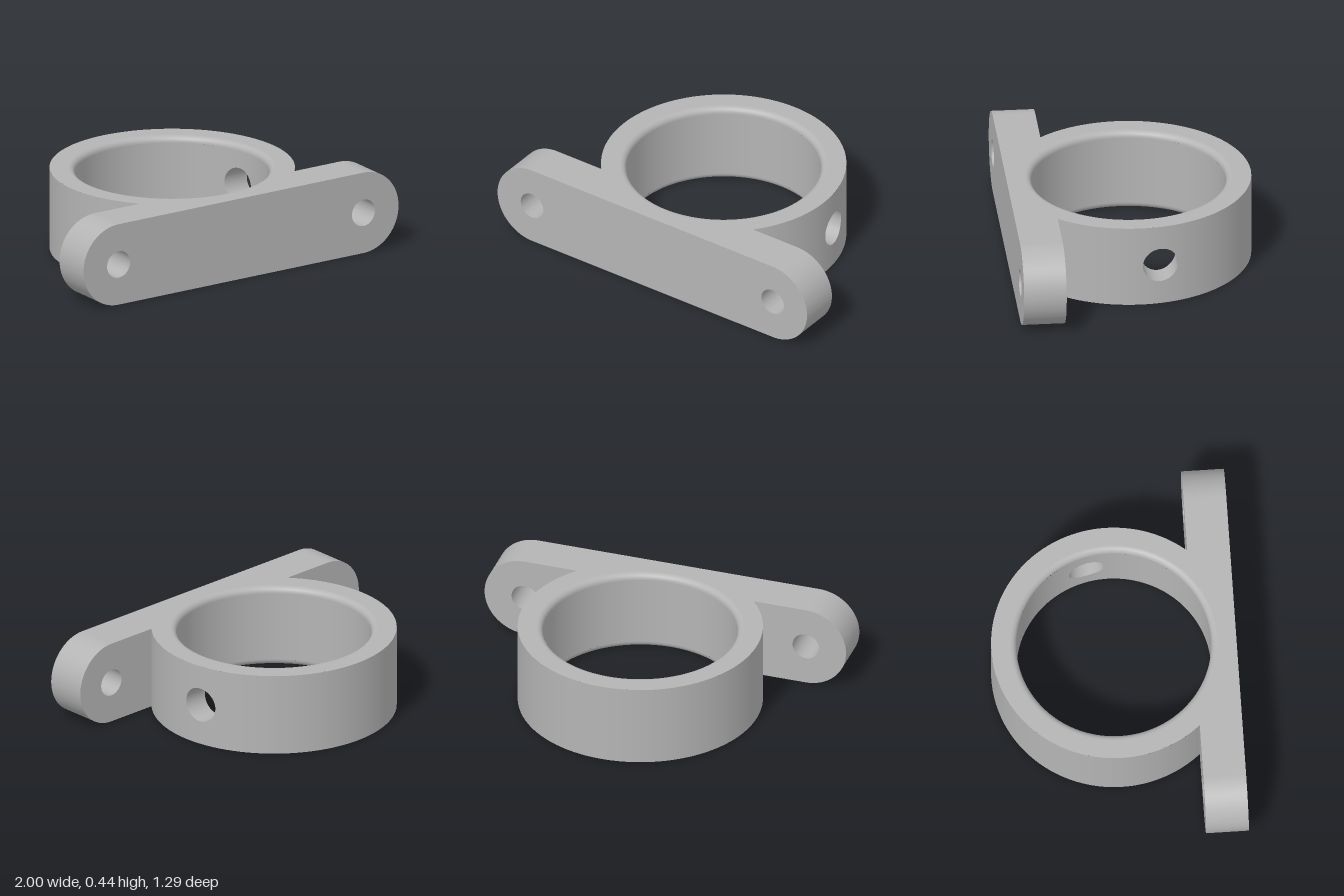
import * as THREE from 'three';
import { toCreasedNormals } from 'three/addons/utils/BufferGeometryUtils.js';

const H = 0.445, MID = H / 2;            // height of the whole bracket
const R_OUT = 0.645, R_IN = 0.512, FILLET = 0.033;
const HOLE_Z = -0.11, HOLE_R = 0.094;    // cross hole in the +x wall
const PATCH = 0.22;                      // half width of the wall patch around that hole
const BACK = 0.42, FRONT = 0.645;        // mounting plate in z
const JOINT = 0.6;                       // where plate ends meet the plate middle

// Surface from a rule: fn(u, v) returns [x, y, z, nx, ny, nz]
function surface(fn, nu, nv, flip) {
  const pos = [], nor = [], idx = [];
  for (let i = 0; i <= nu; i++) {
    for (let j = 0; j <= nv; j++) {
      const p = fn(i / nu, j / nv);
      pos.push(p[0], p[1], p[2]);
      nor.push(p[3], p[4], p[5]);
      if (i < nu && j < nv) {
        const a = i * (nv + 1) + j, b = a + nv + 1;
        if (flip) idx.push(a, b + 1, b, a, a + 1, b + 1);
        else idx.push(a, b, b + 1, a, b + 1, a + 1);
      }
    }
  }
  const g = new THREE.BufferGeometry();
  g.setAttribute('position', new THREE.Float32BufferAttribute(pos, 3));
  g.setAttribute('normal', new THREE.Float32BufferAttribute(nor, 3));
  g.setIndex(idx);
  return g;
}

const wallX = (r, z) => Math.sqrt(r * r - z * z);

// Plain part of a cylindrical wall, leaving out the patch with the hole
function wall(r, y0, y1, side) {
  const start = Math.asin((HOLE_Z + PATCH) / r);
  const end = Math.asin((HOLE_Z - PATCH) / r) + Math.PI * 2;
  return surface((u, v) => {
    const a = start + (end - start) * u, c = Math.cos(a), s = Math.sin(a);
    return [r * c, y0 + (y1 - y0) * v, r * s, side * c, 0, side * s];
  }, 120, 1, side > 0);
}

// Curved patch running from the round hole out to a rectangle
function holePatch(r, halfHeight, side) {
  return surface((u, v) => {
    const t = v * Math.PI * 2, c = Math.cos(t), s = Math.sin(t);
    const m = Math.max(Math.abs(c), Math.abs(s));
    const w = THREE.MathUtils.lerp(HOLE_R * c, PATCH * c / m, u);
    const y = MID + THREE.MathUtils.lerp(HOLE_R * s, halfHeight * s / m, u);
    const z = HOLE_Z - w, x = wallX(r, z);
    return [x, y, z, side * x / r, 0, side * z / r];
  }, 8, 64, side < 0);
}

export function createModel() {
  const group = new THREE.Group();
  const grey = new THREE.MeshStandardMaterial({ color: 0xb4b4b4 });
  grey.name = 'plain grey';
  const add = (name, geometry, parent = group) => {
    const mesh = new THREE.Mesh(geometry, grey);
    mesh.name = name;
    parent.add(mesh);
    return mesh;
  };

  // Ring walls
  const ring = new THREE.Group();
  ring.name = 'ring';
  group.add(ring);
  add('outerWall', wall(R_OUT, 0, H, 1), ring);
  add('outerWallAroundHole', holePatch(R_OUT, MID, 1), ring);
  add('innerWall', wall(R_IN, FILLET, H - FILLET, -1), ring);
  add('innerWallAroundHole', holePatch(R_IN, MID - FILLET, -1), ring);

  // Cross hole bore between the two walls
  add('crossHoleBore', surface((u, v) => {
    const t = v * Math.PI * 2, c = Math.cos(t), s = Math.sin(t);
    const z = HOLE_Z - HOLE_R * c;
    const x = THREE.MathUtils.lerp(wallX(R_IN, z), wallX(R_OUT, z), u);
    return [x, MID + HOLE_R * s, z, 0, -s, c];
  }, 1, 64, false), ring);

  // Flat rims with a rounded inner edge
  const rim = [new THREE.Vector2(R_OUT, H), new THREE.Vector2(R_IN + FILLET + 0.003, H)];
  for (let i = 0; i <= 8; i++) {
    const a = Math.PI / 2 * (1 + i / 8);
    rim.push(new THREE.Vector2(
      R_IN + FILLET + FILLET * Math.cos(a), H - FILLET + FILLET * Math.sin(a)));
  }
  const lowerRim = rim.map(p => new THREE.Vector2(p.x, H - p.y)).reverse();
  add('topRim', new THREE.LatheGeometry(rim, 128), ring);
  add('bottomRim', new THREE.LatheGeometry(lowerRim, 128), ring);

  // Middle of the mounting plate, cut away where the ring passes through
  const notch = 0.6, angle = Math.asin(BACK / notch);
  const middle = new THREE.Shape();
  middle.moveTo(-JOINT, BACK);
  middle.lineTo(-JOINT, FRONT);
  middle.lineTo(JOINT, FRONT);
  middle.lineTo(JOINT, BACK);
  middle.absarc(0, 0, notch, angle, Math.PI - angle, false);
  middle.closePath();
  const middleGeo = new THREE.ExtrudeGeometry(middle,
    { depth: H, bevelEnabled: false, curveSegments: 48 });
  middleGeo.rotateX(Math.PI / 2).translate(0, H, 0);
  add('plateMiddle', middleGeo);

  // Rounded plate ends with screw holes
  const centre = 1 - MID;
  const end = new THREE.Shape();
  end.moveTo(JOINT, 0);
  end.lineTo(centre, 0);
  end.absarc(centre, MID, MID, -Math.PI / 2, Math.PI / 2, false);
  end.lineTo(JOINT, H);
  end.closePath();
  const screwHole = new THREE.Path();
  screwHole.absarc(centre, MID, 0.073, 0, Math.PI * 2, true);
  end.holes.push(screwHole);
  const endGeo = toCreasedNormals(new THREE.ExtrudeGeometry(end,
    { depth: FRONT - BACK, bevelEnabled: false, curveSegments: 40 }).translate(0, 0, BACK), 0.5);
  add('leftPlateEnd', endGeo);
  const right = add('rightPlateEnd', endGeo);
  right.rotation.z = Math.PI;
  right.position.y = H;

  return group;
}
